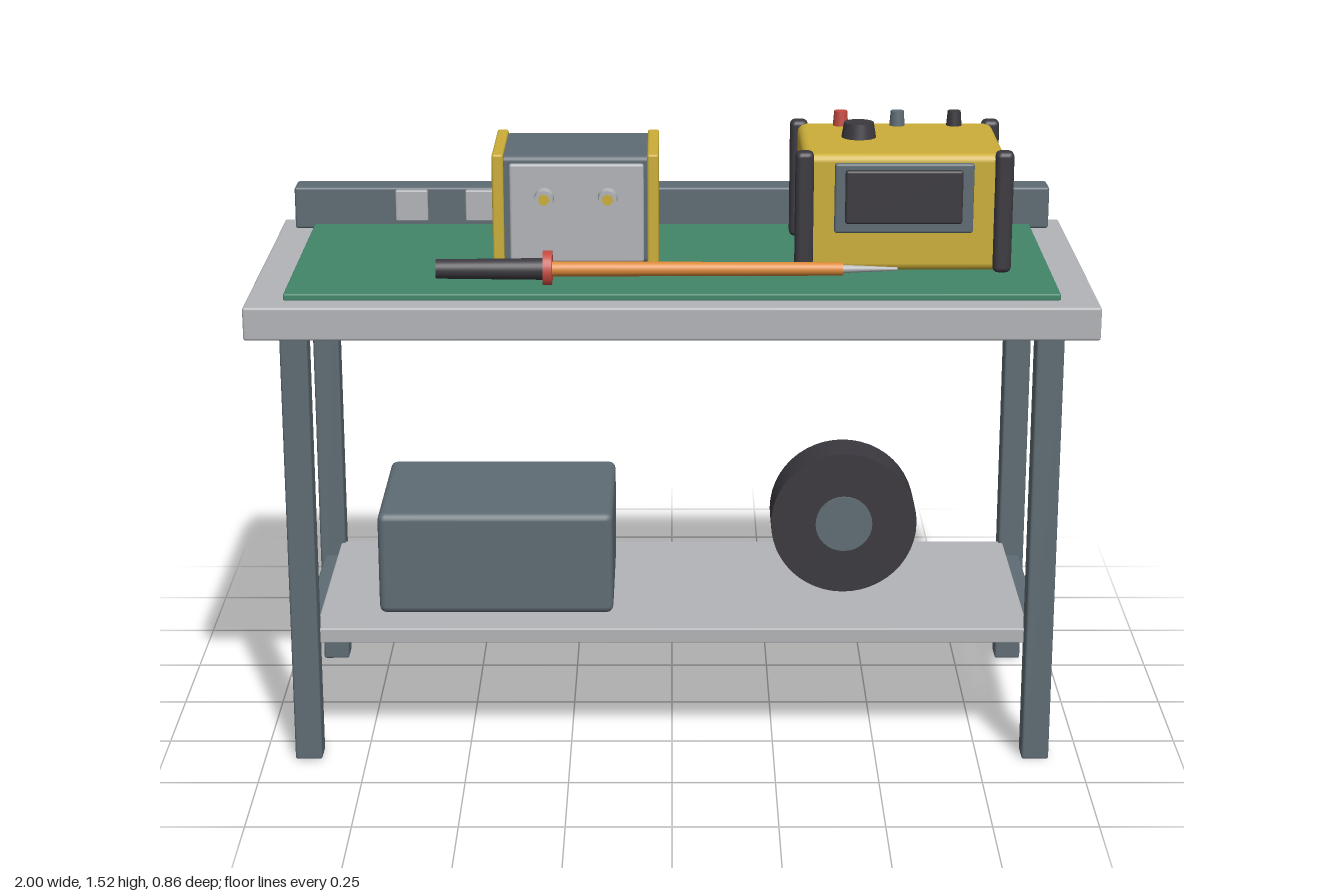
import * as THREE from 'three';
import { RoundedBoxGeometry } from 'three/addons/geometries/RoundedBoxGeometry.js';

const paint = (name, color) => {
  const m = new THREE.MeshStandardMaterial({ color });
  m.name = name;
  return m;
};

export function createModel() {
  const slate = paint('slate', 0x5f6c74);
  const pale = paint('paleGrey', 0xb2b4b7);
  const green = paint('green', 0x43866a);
  const yellow = paint('yellow', 0xccae38);
  const dark = paint('charcoal', 0x3b393f);
  const red = paint('red', 0xc24a42);
  const orange = paint('orange', 0xdc8a3a);

  const model = new THREE.Group();
  model.name = 'workbench';

  const group = (name) => {
    const g = new THREE.Group();
    g.name = name;
    model.add(g);
    return g;
  };
  // Softly rounded box given by its min and max on each axis
  const box = (parent, name, mat, [x0, x1], [y0, y1], [z0, z1], r = 0.006) => {
    const mesh = new THREE.Mesh(new RoundedBoxGeometry(x1 - x0, y1 - y0, z1 - z0, 2, r), mat);
    mesh.position.set((x0 + x1) / 2, (y0 + y1) / 2, (z0 + z1) / 2);
    mesh.name = name;
    parent.add(mesh);
  };
  // Round part centred at pos; axis 'x', 'y' or 'z', rEnd lies on the positive end
  const rod = (parent, name, mat, axis, pos, length, rStart, rEnd = rStart, sides = 28) => {
    const mesh = new THREE.Mesh(new THREE.CylinderGeometry(rEnd, rStart, length, sides), mat);
    if (axis === 'x') mesh.rotation.z = -Math.PI / 2;
    if (axis === 'z') mesh.rotation.x = Math.PI / 2;
    mesh.position.set(...pos);
    mesh.name = name;
    parent.add(mesh);
  };

  // Table: top, mat, legs, shelf and rails
  const table = group('table');
  box(table, 'tableTop', pale, [-1, 1], [1.09, 1.17], [-0.43, 0.43]);
  box(table, 'workMat', green, [-0.912, 0.912], [1.168, 1.185], [-0.318, 0.363], 0.004);
  for (const x of [-0.892, 0.892]) {
    for (const z of [-0.33, 0.33]) {
      box(table, 'leg', slate, [x - 0.033, x + 0.033], [0, 1.092], [z - 0.033, z + 0.033]);
    }
    box(table, 'endRail', slate, [x - 0.022, x + 0.022], [0.24, 0.292], [-0.31, 0.31]);
  }
  box(table, 'backRail', slate, [-0.87, 0.87], [0.24, 0.292], [-0.352, -0.308]);
  box(table, 'shelf', pale, [-0.87, 0.87], [0.288, 0.326], [-0.315, 0.315], 0.004);

  // Power strip along the back, with two pairs of sockets
  const strip = group('powerStrip');
  box(strip, 'stripBody', slate, [-0.962, 0.962], [1.17, 1.277], [-0.407, -0.329]);
  for (const x of [-0.663, -0.485, 0.485, 0.663]) {
    box(strip, 'socket', pale, [x - 0.041, x + 0.041], [1.192, 1.272], [-0.34, -0.316], 0.004);
  }

  // Things stored on the shelf
  box(model, 'storageBox', slate, [-0.723, -0.145], [0.325, 0.585], [-0.215, 0.215], 0.018);
  const reel = group('reel');
  rod(reel, 'reelBody', dark, 'z', [0.43, 0.508, 0], 0.12, 0.182, 0.182, 48);
  rod(reel, 'reelHub', slate, 'z', [0.43, 0.508, 0], 0.134, 0.071, 0.071, 32);

  // Power supply with yellow end plates and two terminals
  const supply = group('powerSupply');
  box(supply, 'supplyBody', slate, [-0.415, -0.045], [1.185, 1.45], [-0.195, 0.08], 0.012);
  box(supply, 'frontPanel', pale, [-0.392, -0.068], [1.19, 1.433], [0.07, 0.09]);
  for (const x of [-0.42, -0.046]) {
    box(supply, 'endPlate', yellow, [x - 0.014, x + 0.014], [1.185, 1.457], [-0.2, 0.09]);
  }
  for (const x of [-0.308, -0.155]) {
    rod(supply, 'terminal', pale, 'z', [x, 1.352, 0.103], 0.03, 0.024, 0.022);
    rod(supply, 'terminalPin', yellow, 'z', [x, 1.352, 0.118], 0.006, 0.013);
  }

  // Test meter with guarded corners, screen and knobs
  const meter = group('testMeter');
  box(meter, 'meterBody', yellow, [0.312, 0.796], [1.186, 1.473], [-0.212, 0.16], 0.02);
  for (const x of [0.316, 0.792]) {
    for (const z of [-0.204, 0.155]) {
      box(meter, 'cornerGuard', dark, [x - 0.022, x + 0.022], [1.185, 1.481], [z - 0.021, z + 0.021], 0.013);
    }
  }
  box(meter, 'screenFrame', slate, [0.388, 0.72], [1.283, 1.453], [0.15, 0.172]);
  box(meter, 'screen', dark, [0.413, 0.693], [1.308, 1.438], [0.165, 0.183]);
  rod(meter, 'mainKnob', dark, 'y', [0.452, 1.502, 0.012], 0.036, 0.042, 0.036);
  [[0.415, red], [0.554, slate], [0.694, dark]].forEach(([x, mat]) => {
    rod(meter, 'smallKnob', mat, 'y', [x, 1.502, -0.122], 0.036, 0.019, 0.016);
  });

  // Hand tool lying along the front of the mat
  const tool = group('handTool');
  const y = 1.217, z = 0.253;
  rod(tool, 'handle', dark, 'x', [-0.428, y, z], 0.264, 0.023, 0.026);
  rod(tool, 'collar', red, 'x', [-0.295, y, z], 0.022, 0.044);
  rod(tool, 'shaft', orange, 'x', [0.06, y, z], 0.69, 0.018, 0.016);
  rod(tool, 'tip', pale, 'x', [0.47, y, z], 0.13, 0.01, 0.004, 16);

  return model;
}
